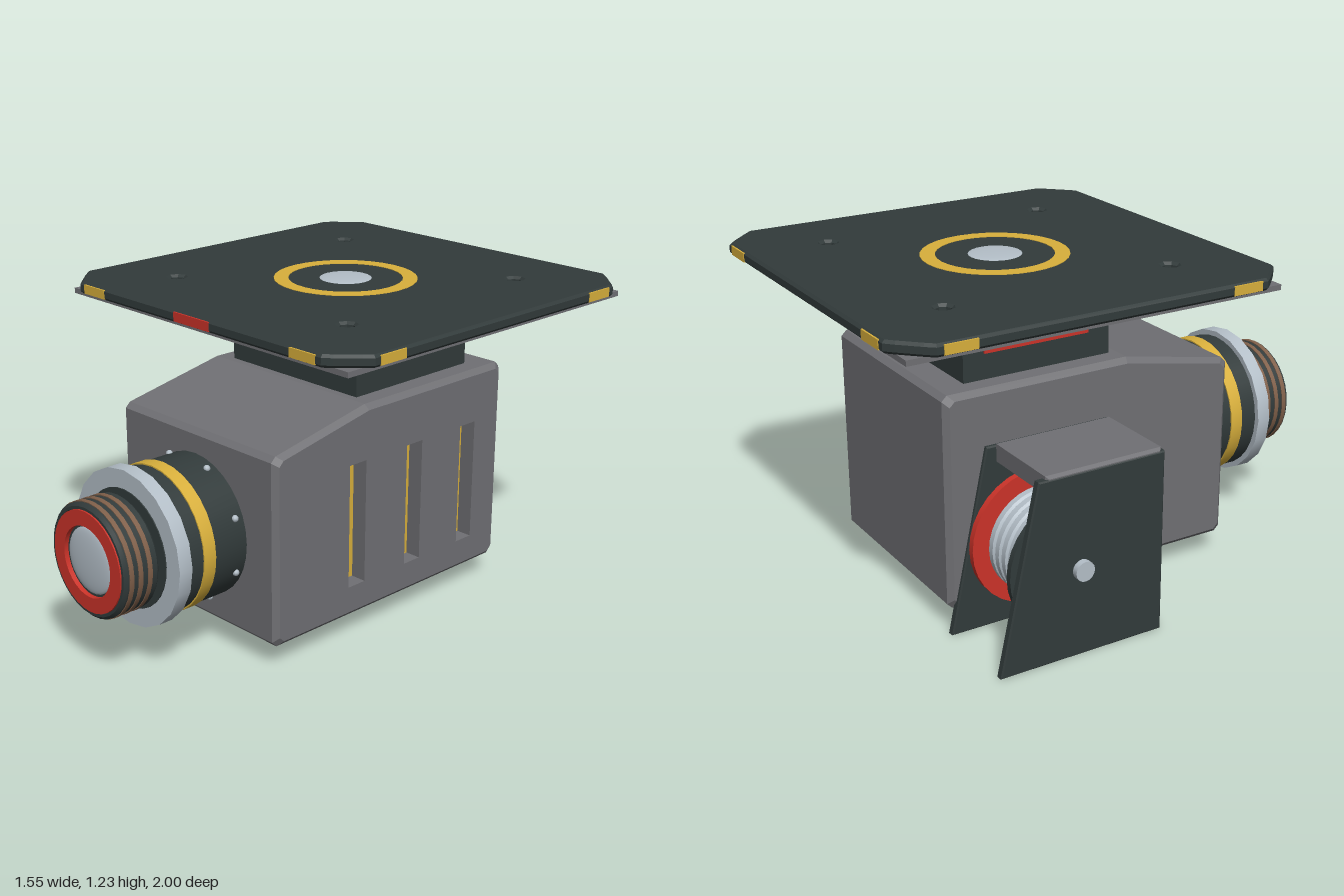
import * as THREE from 'three';
import { toCreasedNormals } from 'three/addons/utils/BufferGeometryUtils.js';

const paint = (name, color) => {
  const m = new THREE.MeshStandardMaterial({ color });
  m.name = name;
  return m;
};

export function createModel() {
  const dark = paint('dark slate', 0x323b3b), grey = paint('grey', 0x707074);
  const silver = paint('silver', 0xb4bfc8), yellow = paint('yellow', 0xd9b03c);
  const red = paint('red', 0xcc3329), brown = paint('brown', 0x80604a);

  const model = new THREE.Group();
  const group = (name, x = 0, y = 0, z = 0) => {
    const g = new THREE.Group();
    g.name = name;
    g.position.set(x, y, z);
    model.add(g);
    return g;
  };
  const add = (parent, name, geo, mat, x = 0, y = 0, z = 0) => {
    const m = new THREE.Mesh(geo, mat);
    m.name = name;
    m.position.set(x, y, z);
    parent.add(m);
    return m;
  };
  const box = (w, h, d) => new THREE.BoxGeometry(w, h, d);
  // Turned part from [radius, height] points, laid along the chosen axis
  const turned = (points, axis = 'y', sides = 32) => {
    let g = new THREE.LatheGeometry(points.map(p => new THREE.Vector2(p[0], p[1])), sides);
    if (axis === 'z') g.rotateX(Math.PI / 2);
    if (axis === 'x') g.rotateZ(-Math.PI / 2);
    return toCreasedNormals(g, 0.6);
  };
  const ring = (r0, r1, a, b, axis, sides) =>
    turned([[r0, a], [r1, a], [r1, b], [r0, b], [r0, a]], axis, sides);
  const disc = (r, a, b, axis, sides) => turned([[0, a], [r, a], [r, b], [0, b]], axis, sides);
  const polygon = pts => new THREE.Shape(pts.map(p => new THREE.Vector2(p[0], p[1])));
  const rect = (x0, x1, y0, y1) => polygon([[x0, y0], [x1, y0], [x1, y1], [x0, y1]]);
  const extrude = (shape, depth, bevel = 0) => new THREE.ExtrudeGeometry(shape, {
    depth: depth - 2 * bevel, bevelEnabled: bevel > 0, bevelThickness: bevel,
    bevelSize: bevel, bevelOffset: -bevel, bevelSegments: 1, curveSegments: 4,
  }).translate(0, 0, bevel);

  // Housing: a chamfered side profile (z, y) carried along x
  const housing = group('housing');
  const profile = [[0.51, 0.11], [0.51, 0.785], [0.49, 0.805], [0.06, 0.89], [-0.66, 0.89],
    [-0.68, 0.87], [-0.68, 0.11], [-0.66, 0.09], [0.49, 0.09]];
  const inset = profile.map(([z, y]) => [-0.085 + (z + 0.085) * 0.966, 0.49 + (y - 0.49) * 0.95]);
  const sections = [[-0.4, inset], [-0.38, profile], [0.41, profile], [0.43, inset]];
  const pos = [], index = [], n = profile.length;
  sections.forEach(([x, pts], s) => pts.forEach(([z, y], i) => {
    pos.push(x, y, z);
    if (s === 3) return;
    const a = s * n + i, b = s * n + (i + 1) % n;
    index.push(a, a + n, b + n, a, b + n, b);
  }));
  const shell = new THREE.BufferGeometry();
  shell.setAttribute('position', new THREE.Float32BufferAttribute(pos, 3));
  shell.setIndex(index);
  add(housing, 'housing shell', toCreasedNormals(shell, 0.1), grey);
  add(housing, 'right wall', new THREE.ShapeGeometry(polygon(inset)).rotateY(-Math.PI / 2), grey, -0.4);

  // Left wall with three recessed slots
  const leftWall = polygon(inset.map(([z, y]) => [-z, y]));
  for (const z of [0.107, -0.19, -0.487]) {
    leftWall.holes.push(rect(-z - 0.042, -z + 0.042, 0.21, 0.685));
    const sleeve = rect(-z - 0.05, -z + 0.05, 0.2, 0.695);
    sleeve.holes.push(rect(-z - 0.042, -z + 0.042, 0.21, 0.685));
    add(housing, 'slot wall', extrude(sleeve, 0.064).rotateY(Math.PI / 2), grey, 0.365);
    add(housing, 'slot panel', box(0.008, 0.49, 0.095), yellow, 0.362, 0.4475, z);
  }
  add(housing, 'left wall', new THREE.ShapeGeometry(leftWall).rotateY(Math.PI / 2), grey, 0.43);

  // Neck with a red panel on each side
  const neck = group('neck', 0.0135, 0, -0.265);
  add(neck, 'neck block', box(0.655, 0.29, 0.59), dark, 0, 1.025, 0);
  for (const s of [-1, 1]) add(neck, 'side panel', box(0.009, 0.175, 0.42), red, s * 0.331, 1.0725, -0.005);

  // Top plate, cut corners and four bolt holes
  const top = group('top plate', 0.0135, 0, -0.243);
  const e = 0.757, c = 0.635, k = 0.73;
  const outline = polygon([[c, -e], [0.665, -k], [k, -0.665], [e, -c], [e, c], [k, 0.665], [0.665, k], [c, e],
    [-c, e], [-0.665, k], [-k, 0.665], [-e, c], [-e, -c], [-k, -0.665], [-0.665, -k], [-c, -e]]);
  for (const x of [-0.447, 0.447]) for (const y of [-0.447, 0.447]) {
    outline.holes.push(new THREE.Path().absarc(x, y, 0.03, 0, Math.PI * 2, true));
  }
  add(top, 'plate', extrude(outline, 0.045, 0.01).rotateX(-Math.PI / 2), dark, 0, 1.175, 0);
  add(top, 'under plate', box(1.36, 0.016, 1.36), dark, 0, 1.168, 0);
  const rim = rect(-0.722, 0.722, -0.722, 0.722);
  rim.holes.push(rect(-0.675, 0.675, -0.675, 0.675));
  add(top, 'under rim', extrude(rim, 0.02).rotateX(-Math.PI / 2), grey, 0, 1.155, 0);
  add(top, 'ring inlay', ring(0.215, 0.27, 1.215, 1.222), yellow);
  const cap = new THREE.SphereGeometry(0.1, 24, 6, 0, Math.PI * 2, 0, Math.PI / 2).scale(1, 0.08, 1);
  add(top, 'centre cap', cap, silver, 0, 1.219, 0);
  for (let i = 0; i < 4; i++) {
    const edge = new THREE.Group();
    edge.name = 'plate edge';
    edge.rotation.y = i * Math.PI / 2;
    top.add(edge);
    for (const s of [-1, 1]) add(edge, 'edge marker', box(0.12, 0.034, 0.008), yellow, s * 0.55, 1.1975, 0.755);
    if (i === 0) add(edge, 'front marker', box(0.185, 0.034, 0.008), red, 0, 1.1975, 0.755);
    add(edge, 'screw', disc(0.022, 1.14, 1.162, 'y', 8), silver, 0.635, 0, 0.635);
    add(edge, 'screw tip', disc(0.012, 1.132, 1.142, 'y', 8), silver, 0.635, 0, 0.635);
  }

  // Front barrel and lens head
  const barrel = group('front barrel', 0.0155, 0.447, 0);
  add(barrel, 'barrel', disc(0.268, 0.5, 0.78, 'z'), dark);
  add(barrel, 'barrel band', ring(0.26, 0.273, 0.655, 0.707, 'z'), yellow);
  add(barrel, 'flange', disc(0.29, 0.775, 0.83, 'z', 20), silver);
  add(barrel, 'flange collar', ring(0.14, 0.22, 0.825, 0.834, 'z'), dark);
  add(barrel, 'spindle', disc(0.047, 0.82, 0.86, 'z', 16), silver);
  for (let i = 0; i < 8; i++) {
    const a = (i + 0.5) * Math.PI / 4;
    add(barrel, 'stud', new THREE.SphereGeometry(0.013, 8, 6), silver,
      Math.cos(a) * 0.268, Math.sin(a) * 0.268, 0.545);
  }
  add(barrel, 'lens head', turned([[0, 0.85], [0.2, 0.85], [0.209, 0.86], [0.209, 0.985], [0.198, 0.996],
    [0.188, 0.996], [0.188, 0.982], [0, 0.982]], 'z'), dark);
  for (const z of [0.892, 0.932, 0.97]) {
    add(barrel, 'lens stripe', ring(0.2, 0.212, z - 0.009, z + 0.009, 'z'), brown);
  }
  add(barrel, 'lens ring', ring(0.13, 0.186, 0.98, 1.0, 'z'), red);
  const lens = new THREE.SphereGeometry(0.122, 32, 8, 0, Math.PI * 2, 0, Math.PI / 2);
  add(barrel, 'lens', lens.scale(1, 0.13, 1).rotateX(Math.PI / 2), silver, 0, 0, 0.982);

  // Side winch: two raked plates, a hood and a ribbed drum
  const winch = group('side winch');
  const bracket = polygon([[0.03, 0], [0.68, 0], [0.53, 0.685], [0.03, 0.685]]);
  for (const x of [-0.415, -0.755]) {
    add(winch, 'side plate', extrude(bracket, 0.032, 0.005).rotateY(Math.PI / 2), dark, x);
  }
  const hood = rect(0.04, 0.5, 0.632, 0.697);
  add(winch, 'hood', extrude(hood, 0.335, 0.01).rotateY(Math.PI / 2), grey, -0.752);
  const drum = group('drum', 0, 0.328, -0.362);
  add(drum, 'axle', disc(0.037, -0.778, -0.4, 'x', 16), silver);
  add(drum, 'hub', disc(0.15, -0.425, -0.41, 'x'), dark);
  add(drum, 'outer flange', disc(0.25, -0.703, -0.68, 'x'), dark);
  add(drum, 'inner flange', disc(0.255, -0.459, -0.434, 'x'), red);
  add(drum, 'core', disc(0.165, -0.682, -0.455, 'x'), grey);
  for (let i = 0; i < 5; i++) {
    const x = -0.65 + i * 0.0425;
    add(drum, 'cable wrap', turned([[0.15, x - 0.02], [0.188, x - 0.02], [0.196, x - 0.012],
      [0.196, x + 0.012], [0.188, x + 0.02], [0.15, x + 0.02]], 'x'), silver);
  }
  return model;
}
